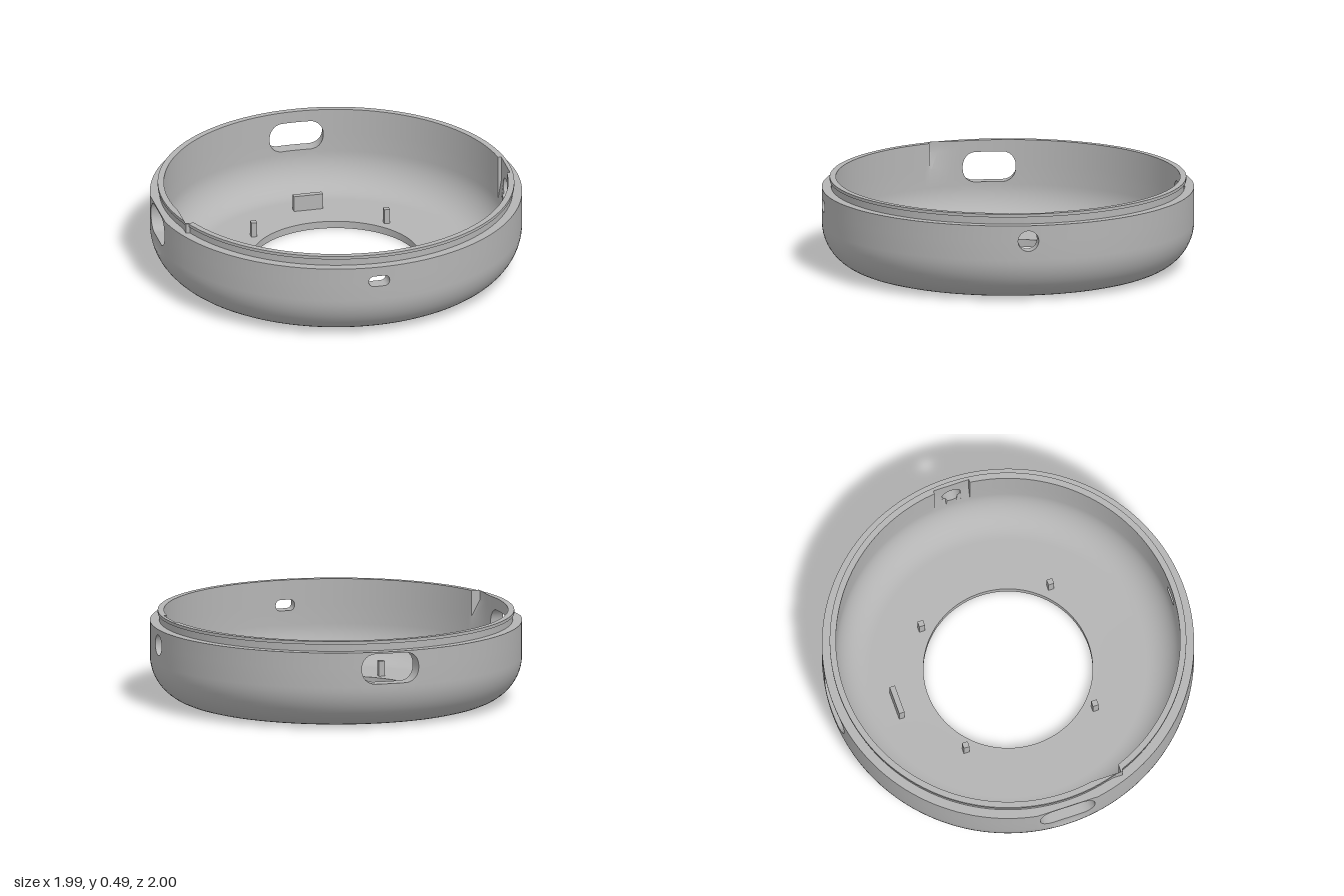
import * as THREE from 'three';
import { toCreasedNormals } from 'three/addons/utils/BufferGeometryUtils.js';

const R = 1, RI = 0.925, HOLE = 0.455;            // outer wall, inner wall, floor opening
const FLOOR = 0.04, BEND = 0.24, MID = 0.345, SHOULDER = 0.43, TOP = 0.485;
const Q = Math.PI / 2;

// wall openings: angle from the front, width, height, corner radius
const openings = [
  { a: 0, y: 0.347, w: 0.115, h: 0.06, r: 0.028 },
  { a: Q, y: MID, w: 0.112, h: 0.112, r: 0.056 },
  { a: 2 * Q, y: 0.338, w: 0.32, h: 0.165, r: 0.075 },
  { a: 3 * Q, y: 0.338, w: 0.31, h: 0.165, r: 0.075 },
];

// point on the revolved shell, with its local flats and pockets
function point(r, y, a) {
  let x = r * Math.sin(a);
  const z = r * Math.cos(a);
  if (r > 0.98 && y > 0.205) x = Math.max(x, -0.985);                          // outer flat
  if (r < 0.93 && y > 0.3 && Math.abs(a - Q) < 0.1085) x = Math.max(x, 0.937); // inner pocket
  const d = a - 3 * Q;
  if (r < 0.99 && y > 0.42 && d > 0.16 && d < 0.363) x = Math.min(x, -0.91);   // rim notch
  return new THREE.Vector3(x, y, z);
}

// lower and upper edge of an opening at one angle
function edges(o, a) {
  if (!o) return [MID, MID];
  const u = Math.min(Math.abs(Math.sin(a - o.a)), o.w / 2);
  const c = Math.max(0, u - (o.w / 2 - o.r));
  const half = o.h / 2 - o.r + Math.sqrt(Math.max(0, o.r * o.r - c * c));
  return [o.y - half, o.y + half];
}

function shellGeometry() {
  const pos = [];
  const quad = (a, b, c, d) => {
    for (const t of [[a, b, c], [a, c, d]]) {
      const area = new THREE.Vector3().subVectors(t[1], t[0]).cross(new THREE.Vector3().subVectors(t[2], t[0]));
      if (area.length() > 1e-9) t.forEach((p) => pos.push(p.x, p.y, p.z));
    }
  };

  // columns around the ring, denser at openings and cut edges
  const start = -Q / 2, end = start + 4 * Q;
  const angles = [];
  for (let i = 0; i <= 144; i++) angles.push(start + (i / 144) * 4 * Q);
  for (const o of openings) {
    for (let i = 0; i <= 18; i++) {
      angles.push(o.a + Math.asin(-Math.cos((i / 18) * Math.PI) * o.w / 2));
    }
  }
  for (const s of [-1, 1]) angles.push(3 * Q + s * 0.1734, Q + s * 0.108, Q + s * 0.109);
  angles.push(3 * Q + 0.362, 3 * Q + 0.364);
  const cols = angles.sort((a, b) => a - b).filter((a, i, l) => i === 0 || a - l[i - 1] > 1e-6);
  cols[cols.length - 1] = end;

  // bowl section, closed around the floor opening
  const bowl = [[HOLE, 0]];
  for (let i = 0; i <= 14; i++) {
    const t = (i / 14) * Q;
    bowl.push([0.76 + 0.24 * Math.sin(t), BEND - BEND * Math.cos(t)]);
  }
  const inner = [];
  for (let i = 14; i >= 0; i--) {
    const t = (i / 14) * Q;
    inner.push([0.74 + (RI - 0.74) * Math.sin(t), BEND - (BEND - FLOOR) * Math.cos(t)]);
  }
  inner.push([HOLE, FLOOR], [HOLE, 0]);
  // stepped rim section with a small snap lip
  const rim = [[R, SHOULDER], [0.95, SHOULDER], [0.95, 0.468], [0.958, 0.468],
    [0.958, TOP], [RI, TOP], [RI, SHOULDER]];

  for (let i = 0; i < cols.length - 1; i++) {
    const a = cols[i], b = cols[i + 1], m = (a + b) / 2;
    const strip = (r0, ya0, yb0, r1, ya1, yb1) =>
      quad(point(r0, ya0, a), point(r0, yb0, b), point(r1, yb1, b), point(r1, ya1, a));
    for (const prof of [bowl, inner, rim]) {
      for (let k = 0; k < prof.length - 1; k++) {
        const [p, q] = [prof[k], prof[k + 1]];
        strip(p[0], p[1], p[1], q[0], q[1], q[1]);
      }
    }
    // upright wall, parted at the openings
    const o = openings.find((h) => Math.abs(m - h.a) < Math.asin(h.w / 2));
    const [la, ha] = edges(o, a), [lb, hb] = edges(o, b);
    strip(R, BEND, BEND, R, la, lb);
    strip(R, ha, hb, R, SHOULDER, SHOULDER);
    strip(RI, SHOULDER, SHOULDER, RI, ha, hb);
    strip(RI, la, lb, RI, BEND, BEND);
    if (!o) continue;
    strip(R, la, lb, RI, la, lb);
    strip(RI, ha, hb, R, ha, hb);
    // upright ends of the opening
    const reach = Math.asin(o.w / 2);
    const jamb = (t, l, h) => [point(R, l, t), point(RI, l, t), point(RI, h, t), point(R, h, t)];
    if (Math.abs(a - o.a + reach) < 1e-5) quad(...jamb(a, la, ha));
    if (Math.abs(b - o.a - reach) < 1e-5) quad(...jamb(b, lb, hb).reverse());
  }

  const geo = new THREE.BufferGeometry();
  geo.setAttribute('position', new THREE.Float32BufferAttribute(pos, 3));
  // enlarged while creasing so that close vertices stay apart
  geo.scale(100, 100, 100);
  const creased = toCreasedNormals(geo, 0.5);
  creased.scale(0.01, 0.01, 0.01);
  return creased;
}

export function createModel() {
  const group = new THREE.Group();
  group.name = 'roundHousing';
  const grey = new THREE.MeshStandardMaterial({ color: 0xb4b4b4 });
  grey.name = 'plainGrey';

  const add = (name, geo, x = 0, y = 0, z = 0) => {
    const mesh = new THREE.Mesh(geo, grey);
    mesh.name = name;
    mesh.position.set(x, y, z);
    group.add(mesh);
  };

  add('housingShell', shellGeometry());

  // locating posts around the floor opening
  const postGeo = new THREE.BoxGeometry(0.032, 0.085, 0.032);
  for (const x of [-0.367, 0.367]) {
    for (const z of [-0.367, 0.367]) add('locatingPost', postGeo, x, FLOOR + 0.04, z);
  }
  // upright support plate at the back
  add('supportPlate', new THREE.BoxGeometry(0.16, 0.09, 0.03), -0.004, FLOOR + 0.042, -0.632);

  return group;
}
